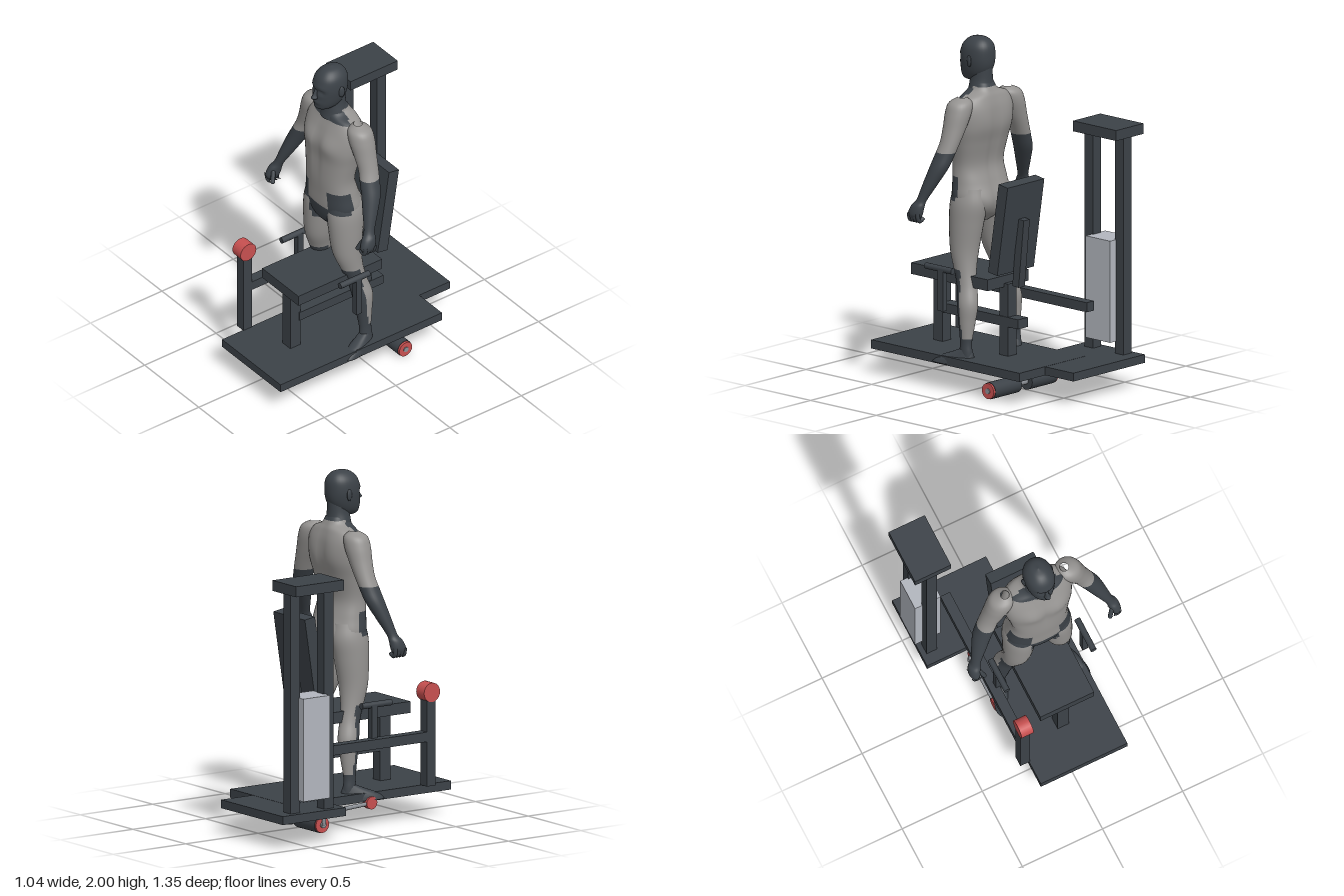
import * as THREE from 'three';

const mat = (name, color) => Object.assign(new THREE.MeshStandardMaterial({ color }), { name });

export function createModel() {
  const root = new THREE.Group();
  root.name = 'exerciseMachineWithFigure';
  const dark = mat('darkSlate', 0x3c4248);
  const skin = mat('warmGrey', 0x959391);
  const red = mat('red', 0xc85050);
  const stackGrey = mat('paleGrey', 0xb2b6be);
  const steel = mat('steel', 0x8c9096);

  const machine = new THREE.Group();
  machine.name = 'machine';
  root.add(machine);
  const add = (parent, name, geo, material) => {
    const m = new THREE.Mesh(geo, material);
    m.name = name;
    parent.add(m);
    return m;
  };
  // box from its extents on each axis
  const box = (name, x0, x1, y0, y1, z0, z1, material = dark) => {
    const m = add(machine, name, new THREE.BoxGeometry(x1 - x0, y1 - y0, z1 - z0), material);
    m.position.set((x0 + x1) / 2, (y0 + y1) / 2, (z0 + z1) / 2);
    return m;
  };
  // cylinder lying along x
  const roll = (name, x0, x1, y, z, r, material, sides = 24) => {
    const m = add(machine, name, new THREE.CylinderGeometry(r, r, x1 - x0, sides), material);
    m.rotation.z = Math.PI / 2;
    m.position.set((x0 + x1) / 2, y, z);
  };

  // base and weight tower
  box('mainPlatform', -0.22, 0.32, 0.15, 0.2, -0.46, 0.67);
  box('towerPlatform', -0.475, 0.11, 0.151, 0.199, -0.675, -0.24);
  box('towerPostFront', -0.445, -0.38, 0.2, 1.45, -0.37, -0.305);
  box('towerPostRear', -0.445, -0.38, 0.2, 1.45, -0.6, -0.535);
  box('towerCap', -0.525, -0.3, 1.45, 1.51, -0.62, -0.29);
  box('weightStack', -0.49, -0.33, 0.27, 0.855, -0.545, -0.36, stackGrey);

  // side rail with the front pulley
  box('sideRail', -0.275, -0.215, 0.455, 0.51, -0.475, 0.49);
  box('pulleyPost', -0.275, -0.215, 0.2, 0.7, 0.465, 0.525);
  roll('pulley', -0.28, -0.205, 0.733, 0.497, 0.055, red);

  // bench
  box('seat', -0.12, 0.215, 0.595, 0.66, -0.12, 0.465);
  box('seatPostFront', 0.01, 0.08, 0.2, 0.6, 0.35, 0.42);
  box('seatPostRear', 0.01, 0.08, 0.2, 0.615, -0.15, -0.085);
  box('seatRail', 0.005, 0.085, 0.37, 0.425, -0.23, 0.36);
  box('backrest', -0.105, 0.195, 0.69, 1.215, -0.214, -0.144).rotation.x = -0.153;
  box('backrestSupport', 0.02, 0.07, 0.605, 1.0, -0.24, -0.192).rotation.x = -0.1;
  for (const x of [-0.24, 0.3]) {
    box('handleUpright', x, x + 0.035, 0.46, 0.7, 0.11, 0.15);
    const grip = add(machine, 'handleGrip', new THREE.CylinderGeometry(0.018, 0.018, 0.205, 12), dark);
    grip.rotation.x = Math.PI / 2;
    grip.position.set(x + 0.0175, 0.698, 0.152);
  }

  // leg roller hung under the platform
  roll('armPivot', -0.24, -0.202, 0.143, 0.112, 0.036, red);
  const armPath = new THREE.CurvePath();
  const armPoints = [[0.11, 0.14], [-0.205, 0.122], [-0.212, 0.053]]
    .map(([z, y]) => new THREE.Vector3(-0.225, y, z));
  for (let i = 0; i < 2; i++) armPath.add(new THREE.LineCurve3(armPoints[i], armPoints[i + 1]));
  add(machine, 'rollerArm', new THREE.TubeGeometry(armPath, 24, 0.012, 8), steel);
  roll('rollerAxle', -0.23, 0.318, 0.053, -0.212, 0.016, steel, 16);
  for (const [x0, x1, cap] of [[-0.205, 0.0, -0.215], [0.085, 0.3, 0.3]]) {
    roll('legRoller', x0, x1, 0.053, -0.212, 0.048, dark);
    roll('rollerEnd', cap, cap + 0.013, 0.053, -0.212, 0.045, red);
  }

  // standing figure
  const figure = new THREE.Group();
  figure.name = 'figure';
  figure.position.x = 0.045;
  root.add(figure);

  // stacked rings [x, y, z, rx, rz] from top to bottom, coloured by isDark(x, y, z)
  const loft = (name, rings, isDark, { parent = figure, rows = 40, sides = 32, power = 1, shape } = {}) => {
    const mid = new THREE.CatmullRomCurve3(rings.map(r => new THREE.Vector3(r[0], r[1], r[2])), false, 'catmullrom', 0.5);
    const rad = new THREE.CatmullRomCurve3(rings.map(r => new THREE.Vector3(r[3], 0, r[4])), false, 'catmullrom', 0.5);
    const bend = v => Math.sign(v) * Math.abs(v) ** power;
    const pts = [], lists = [[], []];
    for (let i = 0; i <= rows; i++) {
      const c = mid.getPoint(i / rows), r = rad.getPoint(i / rows);
      for (let j = 0; j < sides; j++) {
        const a = (j / sides) * Math.PI * 2;
        const p = new THREE.Vector3(c.x + Math.max(r.x, 0.001) * bend(Math.cos(a)), c.y,
          c.z + Math.max(r.z, 0.001) * bend(Math.sin(a)));
        if (shape) shape(p, Math.sin(a));
        pts.push(p);
      }
    }
    for (let i = 0; i < rows; i++) for (let j = 0; j < sides; j++) {
      const a = i * sides + j, b = i * sides + (j + 1) % sides, c = a + sides, d = b + sides;
      const m = pts[a].clone().add(pts[d]).multiplyScalar(0.5);
      lists[isDark(m.x, m.y, m.z) ? 1 : 0].push(a, b, c, b, d, c);
    }
    const geo = new THREE.BufferGeometry().setFromPoints(pts);
    geo.setIndex([...lists[0], ...lists[1]]);
    geo.addGroup(0, lists[0].length, 0);
    geo.addGroup(lists[0].length, lists[1].length, 1);
    geo.computeVertexNormals();
    return add(parent, name, geo, [skin, dark]);
  };
  const always = () => true;
  const bump = (p, x, y, sx, sy) => Math.exp(-(((Math.abs(p.x) - x) / sx) ** 2) - ((p.y - y) / sy) ** 2);
  const bodyDark = (x, y, z) => y > (z > 0.08 ? 1.665 : 1.72)
    || (z > 0.1 && (Math.abs(x) > 0.08 ? y > 1.07 && y < 1.21 : y > 0.94 && y < 1.1));
  const legDark = (x, y, z) => bodyDark(x, y, z)
    || (y < 0.69 && (y < 0.3 || z > 0.05 - (0.6 - y) * 0.1));

  // torso with chest, buttocks and spine groove
  loft('torso', [
    [0, 1.74, 0.08, 0.06, 0.062], [0, 1.7, 0.075, 0.085, 0.075], [0, 1.665, 0.07, 0.165, 0.085],
    [0, 1.6, 0.075, 0.205, 0.105], [0, 1.5, 0.088, 0.205, 0.122], [0, 1.4, 0.1, 0.186, 0.112],
    [0, 1.28, 0.112, 0.168, 0.102], [0, 1.18, 0.1, 0.178, 0.11], [0, 1.08, 0.088, 0.188, 0.118],
    [0, 1.0, 0.09, 0.13, 0.1], [0, 0.945, 0.1, 0.03, 0.05],
  ], bodyDark, {
    rows: 60, sides: 44, power: 0.85,
    shape: (p, s) => {
      if (s > 0) p.z += s * (0.018 * bump(p, 0.09, 1.53, 0.07, 0.06) - 0.01 * bump(p, 0, 1.45, 0.015, 0.15));
      else p.z += s * (0.02 * bump(p, 0.08, 1.07, 0.06, 0.08) + 0.01 * bump(p, 0.1, 1.56, 0.06, 0.1)
        - 0.014 * bump(p, 0, 1.35, 0.02, 0.28));
    },
  });

  // head and neck
  loft('neck', [[0, 1.83, 0.08, 0.055, 0.06], [0, 1.76, 0.085, 0.062, 0.065], [0, 1.71, 0.085, 0.075, 0.07],
    [0, 1.665, 0.09, 0.085, 0.075]], bodyDark, { rows: 14 });
  loft('head', [
    [0, 2.0, 0.105, 0.001, 0.001], [0, 1.985, 0.105, 0.045, 0.057], [0, 1.945, 0.109, 0.078, 0.093],
    [0, 1.885, 0.113, 0.086, 0.103], [0, 1.83, 0.117, 0.08, 0.1], [0, 1.785, 0.128, 0.068, 0.088],
    [0, 1.755, 0.14, 0.05, 0.067], [0, 1.74, 0.15, 0.022, 0.035], [0, 1.738, 0.15, 0.001, 0.001],
  ], always, {
    power: 0.92,
    shape: (p, s) => {
      if (s > 0.3) p.z += 0.006 * bump(p, 0.03, 1.9, 0.035, 0.014) - 0.013 * bump(p, 0.033, 1.872, 0.02, 0.015)
        + 0.007 * bump(p, 0, 1.803, 0.03, 0.015) + 0.006 * bump(p, 0, 1.758, 0.025, 0.015);
    },
  });
  loft('nose', [[0, 1.885, 0.205, 0.01, 0.012], [0, 1.85, 0.215, 0.012, 0.02], [0, 1.83, 0.218, 0.019, 0.028],
    [0, 1.82, 0.21, 0.008, 0.01]], always, { rows: 10, sides: 12 });

  for (const s of [1, -1]) {
    const ear = add(figure, 'ear', new THREE.SphereGeometry(1, 12, 10), dark);
    ear.scale.set(0.009, 0.034, 0.02);
    ear.position.set(s * 0.087, 1.865, 0.1);
    ear.rotation.y = -s * 0.3;

    // arm and closed hand
    loft('arm', [
      [s * 0.185, 1.685, 0.06, 0.025, 0.025], [s * 0.2, 1.655, 0.06, 0.068, 0.065], [s * 0.218, 1.6, 0.06, 0.075, 0.074],
      [s * 0.248, 1.52, 0.06, 0.066, 0.066], [s * 0.283, 1.44, 0.063, 0.056, 0.058], [s * 0.314, 1.37, 0.075, 0.053, 0.058],
      [s * 0.345, 1.3, 0.09, 0.051, 0.056], [s * 0.38, 1.21, 0.122, 0.04, 0.044], [s * 0.414, 1.12, 0.155, 0.027, 0.032],
      [s * 0.43, 1.085, 0.17, 0.032, 0.042], [s * 0.438, 1.04, 0.182, 0.032, 0.048], [s * 0.438, 1.01, 0.185, 0.022, 0.035],
    ], (x, y) => y < 1.39, { rows: 56, sides: 28 });
    for (let i = 0; i < 4; i++) {
      const z = 0.15 + i * 0.021;
      const curve = new THREE.QuadraticBezierCurve3(new THREE.Vector3(s * 0.455, 1.045, z),
        new THREE.Vector3(s * 0.455, 0.975, z), new THREE.Vector3(s * 0.41, 1.015, z));
      add(figure, 'finger', new THREE.TubeGeometry(curve, 8, 0.0125, 8), dark);
    }
    const thumb = add(figure, 'thumb', new THREE.CapsuleGeometry(0.013, 0.055, 4, 10), dark);
    thumb.position.set(s * 0.402, 1.04, 0.21);
    thumb.rotation.set(-0.35, 0, -s * 0.35);

    // leg and turned-out foot
    loft('leg', [
      [s * 0.1, 1.15, 0.085, 0.075, 0.095], [s * 0.105, 1.06, 0.085, 0.095, 0.113], [s * 0.115, 0.95, 0.092, 0.091, 0.104],
      [s * 0.128, 0.8, 0.095, 0.078, 0.086], [s * 0.145, 0.69, 0.075, 0.06, 0.068], [s * 0.158, 0.6, 0.05, 0.053, 0.06],
      [s * 0.178, 0.5, 0.026, 0.056, 0.062], [s * 0.187, 0.4, 0.022, 0.046, 0.05], [s * 0.197, 0.29, 0.02, 0.031, 0.037],
      [s * 0.2, 0.23, 0.018, 0.031, 0.04], [s * 0.2, 0.16, 0.018, 0.033, 0.045],
    ], legDark, { rows: 60, sides: 28 });
    const foot = loft('foot', [[0, 0.245, 0.0, 0.026, 0.034], [0, 0.22, 0.025, 0.034, 0.068], [0, 0.195, 0.055, 0.042, 0.105],
      [0, 0.17, 0.07, 0.047, 0.123], [0, 0.155, 0.07, 0.044, 0.12], [0, 0.154, 0.07, 0.001, 0.001]],
      always, { rows: 20, power: 0.85 });
    foot.position.set(s * 0.2, 0, 0.018);
    foot.rotation.y = s * 0.33;
  }
  return root;
}
